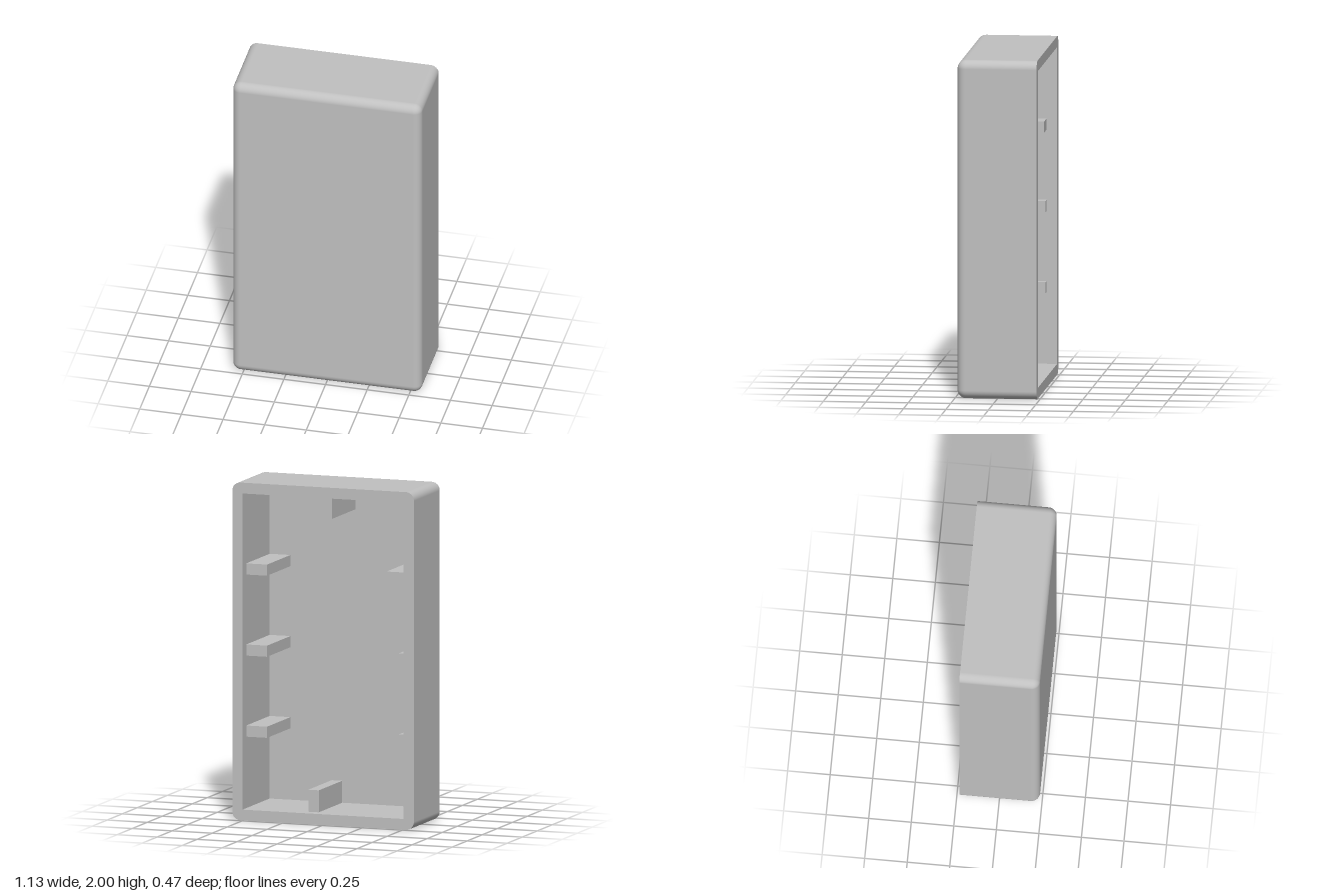
import * as THREE from 'three';
import { RoundedBoxGeometry } from 'three/addons/geometries/RoundedBoxGeometry.js';

const W = 1.135, H = 2, D = 0.47;      // outer size
const R = 0.05;                        // rounding of the outer edges
const WALL = 0.064, FLOOR = 0.216;     // side wall thickness, inner face of the front panel
const BACK = -D / 2;
const IW = W - 2 * WALL, IH = H - 2 * WALL;

// Rounded box whose rounded rear end is cut off flat at the open back
function shellGeometry() {
  const g = new RoundedBoxGeometry(W, H, D + R, 6, R);
  g.translate(0, H / 2, -R / 2);
  const p = g.attributes.position, n = g.attributes.normal;
  const pos = [], nor = [];
  for (let i = 0; i < p.count; i += 3) {
    const tri = [i, i + 1, i + 2];
    if (tri.some((k) => p.getZ(k) < BACK - 1e-4)) continue;
    for (const k of tri) {
      pos.push(p.getX(k), p.getY(k), p.getZ(k));
      nor.push(n.getX(k), n.getY(k), n.getZ(k));
    }
  }
  const out = new THREE.BufferGeometry();
  out.setAttribute('position', new THREE.Float32BufferAttribute(pos, 3));
  out.setAttribute('normal', new THREE.Float32BufferAttribute(nor, 3));
  return out;
}

// Flat frame around the opening, facing backwards
function rimGeometry() {
  const x = W / 2, y = H / 2, s = new THREE.Shape();
  s.absarc(x - R, y - R, R, 0, Math.PI / 2);
  s.absarc(-x + R, y - R, R, Math.PI / 2, Math.PI);
  s.absarc(-x + R, -y + R, R, Math.PI, Math.PI * 1.5);
  s.absarc(x - R, -y + R, R, Math.PI * 1.5, Math.PI * 2);
  s.closePath();
  const a = IW / 2, b = IH / 2;
  s.holes.push(new THREE.Path([[-a, -b], [-a, b], [a, b], [a, -b]].map(([u, v]) => new THREE.Vector2(u, v))));
  return new THREE.ShapeGeometry(s, 8).rotateY(Math.PI).translate(0, H / 2, BACK);
}

// Inward-facing box without its rear side
function cavityGeometry() {
  const g = new THREE.BoxGeometry(IW, IH, FLOOR - BACK);
  g.translate(0, H / 2, (FLOOR + BACK) / 2);
  g.setIndex(Array.from(g.index.array).slice(0, 30).reverse());
  g.clearGroups();
  const n = g.attributes.normal;
  for (let i = 0; i < n.count; i++) n.setXYZ(i, -n.getX(i), -n.getY(i), -n.getZ(i));
  return g;
}

export function createModel() {
  const model = new THREE.Group();
  model.name = 'openBackedCase';
  const grey = new THREE.MeshStandardMaterial({ color: 0xc0c0c0 });
  grey.name = 'grey';

  const add = (name, geometry) => {
    const m = new THREE.Mesh(geometry, grey);
    m.name = name;
    model.add(m);
    return m;
  };

  add('outerShell', shellGeometry());
  add('backRim', rimGeometry());
  add('innerCavity', cavityGeometry());

  // Ribs run from the front panel almost to the opening
  const ribEnd = -0.173, ribLength = FLOOR - ribEnd;
  const rib = (name, w, h, x, y) =>
    add(name, new THREE.BoxGeometry(w, h, ribLength)).position.set(x, y, (FLOOR + ribEnd) / 2);

  // Side ribs: three on each wall, the lower two on the right are narrow
  const THIN = 0.066, WIDE = 0.13;
  [1.48, 1.0, 0.52].forEach((y, i) => {
    rib('leftRib' + (i + 1), WIDE, THIN, IW / 2 - WIDE / 2, y);
    const w = i === 0 ? WIDE : 0.053;
    rib('rightRib' + (i + 1), w, THIN, -IW / 2 + w / 2, y);
  });

  // Upright ribs on the top and bottom walls
  rib('topRib', THIN, WIDE, 0, H - WALL - WIDE / 2);
  rib('bottomRib', THIN, WIDE, 0.083, WALL + WIDE / 2);

  return model;
}
